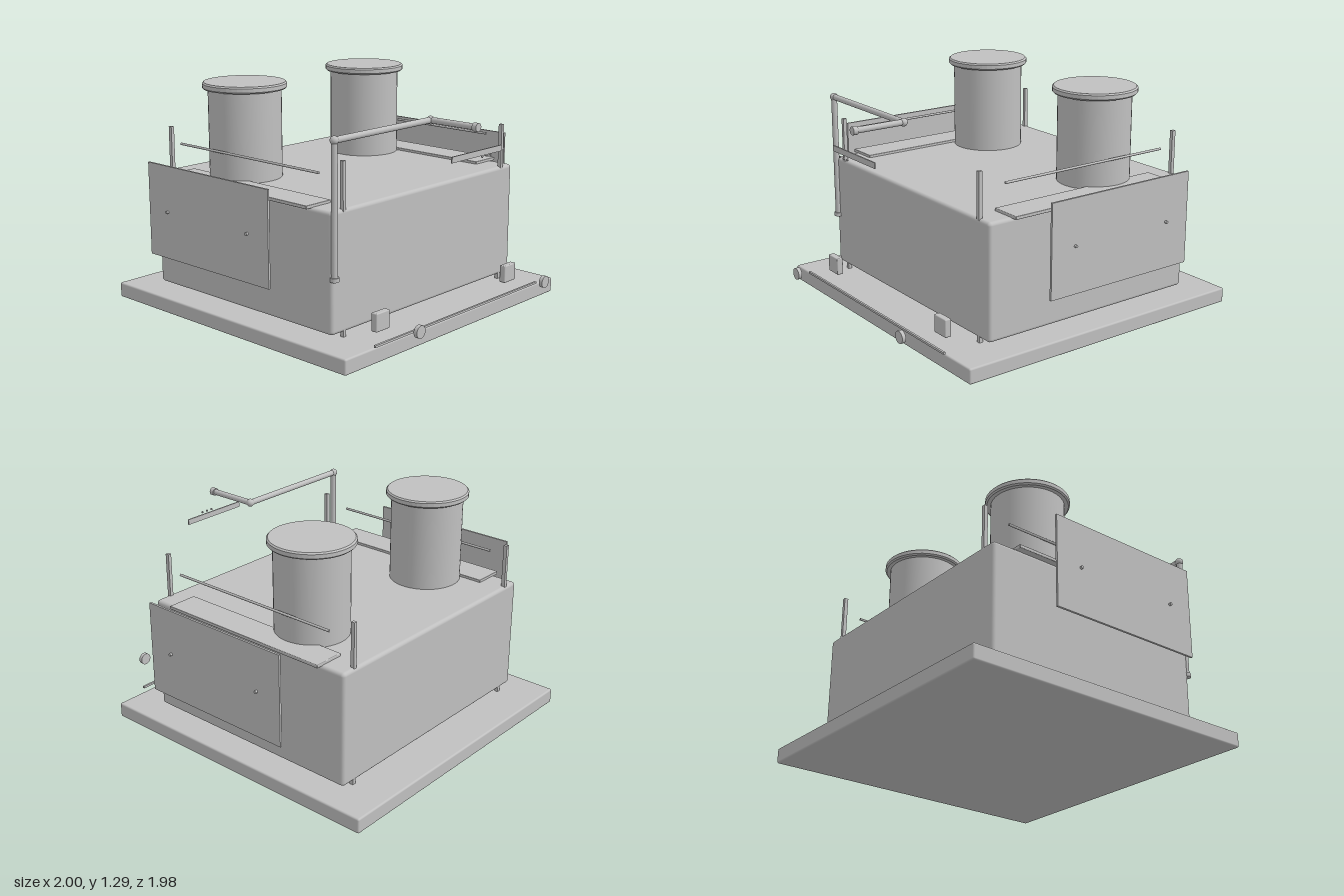
import * as THREE from 'three';
import { RoundedBoxGeometry } from 'three/addons/geometries/RoundedBoxGeometry.js';

export function createModel() {
  const model = new THREE.Group();
  const grey = new THREE.MeshStandardMaterial({ color: 0xc0c0c0 });
  grey.name = 'plain grey';

  const add = (name, geometry, x, y, z) => {
    const mesh = new THREE.Mesh(geometry, grey);
    mesh.name = name;
    mesh.position.set(x, y, z);
    model.add(mesh);
    return mesh;
  };
  // Box given by its minimum and maximum on each axis, optionally rounded
  const box = (name, [x0, x1], [y0, y1], [z0, z1], r = 0) => {
    const size = [x1 - x0, y1 - y0, z1 - z0];
    const geometry = r ? new RoundedBoxGeometry(...size, 3, r) : new THREE.BoxGeometry(...size);
    return add(name, geometry, (x0 + x1) / 2, (y0 + y1) / 2, (z0 + z1) / 2);
  };
  // Cylinder between two points
  const rod = (name, a, b, r, sides = 20) => {
    const from = new THREE.Vector3(...a), to = new THREE.Vector3(...b);
    const dir = to.clone().sub(from);
    const mid = from.clone().add(to).multiplyScalar(0.5);
    const mesh = add(name, new THREE.CylinderGeometry(r, r, dir.length(), sides), mid.x, mid.y, mid.z);
    mesh.quaternion.setFromUnitVectors(new THREE.Vector3(0, 1, 0), dir.normalize());
    return mesh;
  };

  // Base slab and main tank
  box('base', [-0.893, 0.893], [0, 0.086], [-0.99, 0.799], 0.01);
  box('body', [-0.758, 0.758], [0.112, 0.759], [-0.775, 0.581], 0.02);

  // Slim trim bar in front of the base
  box('frontTrim', [-0.698, 0.698], [0.098, 0.11], [0.81, 0.822]);

  // Slightly bevelled chimney lid profile
  const lidProfile = [[0, 0], [0.224, 0], [0.232, 0.008], [0.232, 0.03], [0.224, 0.038], [0, 0.038]]
    .map(([x, y]) => new THREE.Vector2(x, y));

  for (const s of [-1, 1]) {
    const span = (a, b) => (s > 0 ? [a, b] : [-b, -a]);

    // Chimney with an overhanging lid
    rod('chimney', [s * 0.487, 0.75, -0.33], [s * 0.487, 1.255, -0.33], 0.202, 48);
    const lid = new THREE.LatheGeometry(lidProfile, 48).toNonIndexed();
    lid.computeVertexNormals();
    add('chimneyLid', lid, s * 0.487, 1.25, -0.33);

    // Walkway and its handrail
    box('walkway', span(0.61, 0.788), [0.755, 0.774], [-0.63, 0.437], 0.004);
    rod('handrail', [s * 0.698, 0.928, -0.63], [s * 0.698, 0.928, 0.437], 0.007, 12);
    for (const z of [-0.757, 0.569]) {
      box('railPost', span(0.652, 0.672), [0.085, 1.005], [z - 0.011, z + 0.011]);
    }

    // Detached side panel with two studs
    box('sidePanel', span(0.975, 0.987), [0.37, 0.882], [-0.56, 0.368]);
    for (const z of [-0.405, 0.217]) {
      rod('panelStud', [s * 0.985, 0.63, z], [s * 1.0, 0.63, z], 0.008, 12);
    }

    // Lamp housing and its lens
    box('lampHousing', span(0.497, 0.6), [0.13, 0.23], [0.704, 0.742], 0.006);
    rod('lampLens', [s * 0.543, 0.181, 0.964], [s * 0.543, 0.181, 0.985], 0.034, 24);
  }

  // Swing pipe: riser, cross arm and forward spout with rounded elbows
  const foot = [-0.741, 0.405, 0.585], elbow = [-0.741, 1.12, 0.585];
  const bend = [0, 1.12, 0.585], tip = [0, 1.12, 0.895];
  rod('pipeRiser', foot, elbow, 0.017);
  rod('pipeArm', elbow, bend, 0.017);
  rod('pipeSpout', bend, tip, 0.017);
  for (const p of [elbow, bend]) add('pipeElbow', new THREE.SphereGeometry(0.023, 20, 14), ...p);
  rod('pipeFootCollar', [-0.741, 0.4, 0.585], [-0.741, 0.422, 0.585], 0.024);
  rod('pipeNozzle', [0, 1.12, 0.872], [0, 1.12, 0.9], 0.023);

  // Floating front plate with three small studs
  box('frontPlate', [-0.211, 0.211], [0.966, 0.998], [0.89, 0.898]);
  for (const x of [-0.037, 0, 0.037]) {
    rod('frontPlateStud', [x, 0.982, 0.951], [x, 0.982, 0.958], 0.006, 12);
  }

  return model;
}
